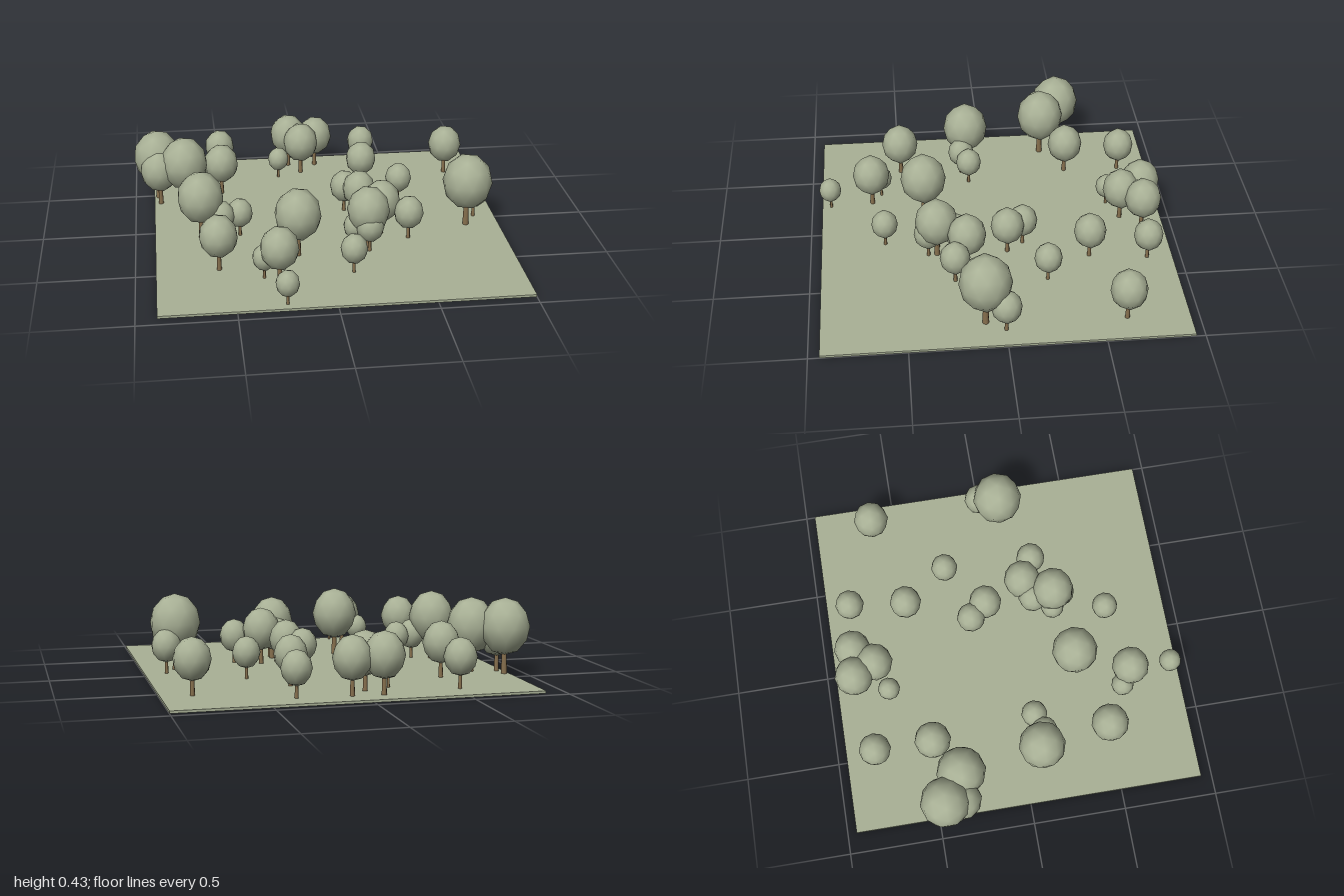
import * as THREE from 'three';

// Each tree: x, z, crown radius
const TREES = [
  [-0.497, -0.785, 0.085], [-0.08, -0.84, 0.104], [0.08, -0.829, 0.099],
  [-0.016, -0.722, 0.1], [-0.155, -0.665, 0.06], [0.358, -0.813, 0.078],
  [0.84, -0.625, 0.095], [0.316, -0.503, 0.086], [-0.503, -0.471, 0.097],
  [-0.866, -0.455, 0.132], [-0.716, -0.348, 0.13], [-0.856, -0.37, 0.107],
  [0.497, -0.257, 0.073], [0.171, -0.155, 0.078], [0.241, -0.065, 0.089],
  [0.882, 0, 0.078], [0.818, 0.1, 0.134], [-0.642, 0.1, 0.124],
  [-0.535, 0.133, 0.072], [-0.433, 0.096, 0.07], [0.332, 0.16, 0.101],
  [0.471, 0.232, 0.079], [0.237, 0.316, 0.113], [0.235, 0.205, 0.08],
  [0.171, 0.305, 0.064], [0.24, 0.363, 0.075], [-0.144, 0.369, 0.123],
  [-0.567, 0.486, 0.1], [-0.267, 0.657, 0.1], [-0.342, 0.605, 0.061],
  [0.123, 0.593, 0.07], [-0.249, 0.891, 0.06],
];
const GROUND_TOP = 0.013;

export function createModel() {
  const grass = new THREE.MeshStandardMaterial({ name: 'grass', color: 0xa9b196 });
  const leaves = new THREE.MeshStandardMaterial({ name: 'leaves', color: 0xa9b196 });
  const bark = new THREE.MeshStandardMaterial({ name: 'bark', color: 0x87704e });
  const model = new THREE.Group();
  model.name = 'grove';

  // Thin square of ground
  const ground = new THREE.Mesh(new THREE.BoxGeometry(1.893, GROUND_TOP, 1.893), grass);
  ground.name = 'ground';
  ground.position.set(0.053, GROUND_TOP / 2, -0.005);
  model.add(ground);

  // Unit tree: smooth low-poly crown standing on a vertex, tapered trunk
  const crownShape = new THREE.IcosahedronGeometry(1, 1);
  crownShape.rotateZ(Math.atan(2 / (1 + Math.sqrt(5))));
  crownShape.scale(1.02, 1.17, 1.02);
  crownShape.translate(0, 1.93, 0);
  const trunkShape = new THREE.CylinderGeometry(0.1, 0.13, 1.1, 8);
  trunkShape.translate(0, 0.55, 0);

  TREES.forEach(([x, z, r], i) => {
    const tree = new THREE.Group();
    tree.name = `tree${i + 1}`;
    const crown = new THREE.Mesh(crownShape, leaves);
    crown.name = 'crown';
    const trunk = new THREE.Mesh(trunkShape, bark);
    trunk.name = 'trunk';
    tree.add(crown, trunk);
    tree.position.set(x, GROUND_TOP, z);
    tree.scale.setScalar(r);
    model.add(tree);
  });
  return model;
}
